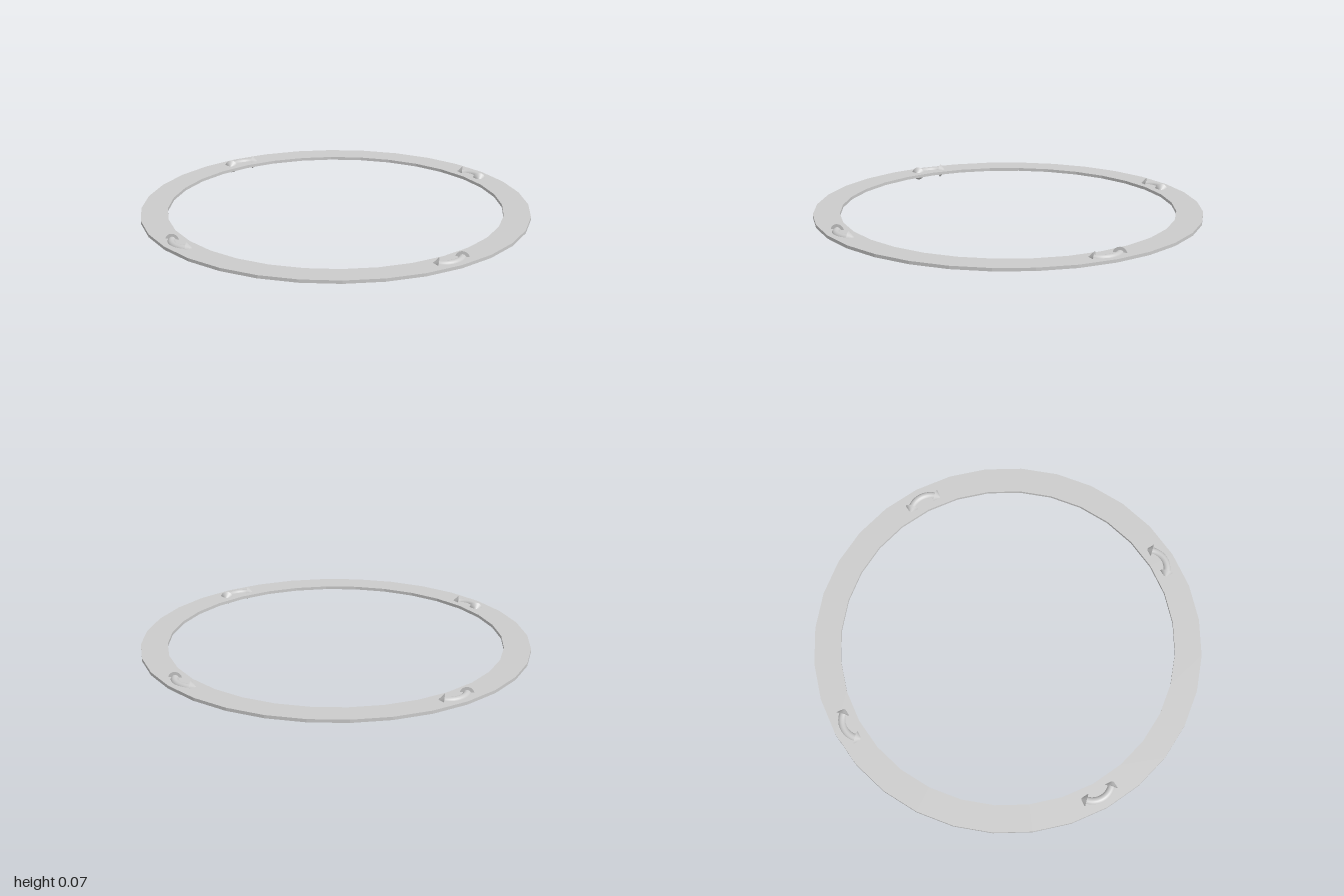
import * as THREE from 'three';

const MID = 0.035;      // height of the ring's middle plane
const BEND = 0.1;       // radius of each curved arrow

export function createModel() {
  const model = new THREE.Group();
  model.name = 'ringWithArrows';
  const flat = new THREE.MeshStandardMaterial({ color: 0xcccccc, flatShading: true });
  const smooth = new THREE.MeshStandardMaterial({ color: 0xcccccc });

  const add = (parent, name, geometry, material) => {
    const mesh = new THREE.Mesh(geometry, material);
    mesh.name = name;
    parent.add(mesh);
    return mesh;
  };

  // flat faceted ring with a rectangular section
  const inner = 0.863, outer = 1, half = 0.008;
  const section = [[inner, -half], [outer, -half], [outer, half], [inner, half], [inner, -half]]
    .map(([r, y]) => new THREE.Vector2(r, y));
  add(model, 'ring', new THREE.LatheGeometry(section, 32), flat).position.y = MID;

  // curved double-headed arrows, one per quadrant, half sunk into the ring
  const shaftGeometry = new THREE.TorusGeometry(BEND, 0.02, 16, 16, Math.PI / 2).rotateX(Math.PI / 2);
  const headGeometry = new THREE.ConeGeometry(0.035, 0.035, 24).translate(0, 0.0175, 0);

  for (let i = 0; i < 4; i++) {
    const arrow = new THREE.Group();
    arrow.name = 'curvedArrow' + (i + 1);
    add(arrow, 'arrowShaft', shaftGeometry, smooth);

    const headA = add(arrow, 'arrowHeadA', headGeometry, smooth);
    headA.position.x = BEND;
    headA.rotation.x = -Math.PI / 2;   // points to -z

    const headB = add(arrow, 'arrowHeadB', headGeometry, smooth);
    headB.position.z = BEND;
    headB.rotation.z = Math.PI / 2;    // points to -x

    arrow.position.set(0.6, MID, 0.6);
    const quadrant = new THREE.Group();
    quadrant.name = 'arrowQuadrant' + (i + 1);
    quadrant.rotation.y = i * Math.PI / 2;
    quadrant.add(arrow);
    model.add(quadrant);
  }
  return model;
}
